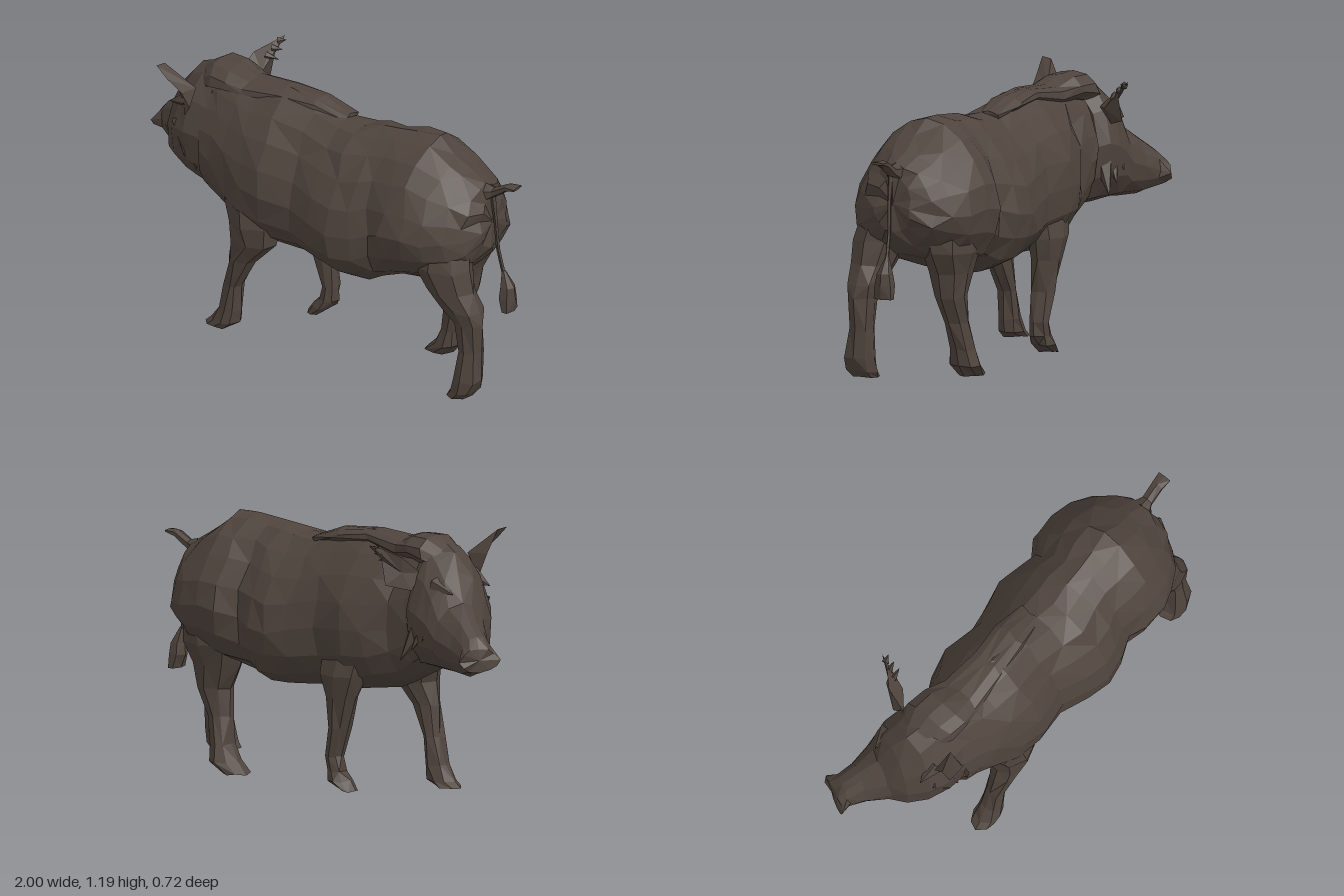
import * as THREE from 'three';

const hide = new THREE.MeshStandardMaterial({ color: 0x4f443d, flatShading: true, side: THREE.DoubleSide });
hide.name = 'dark brown hide';

// Seeded noise for the rough, faceted coat
let seed = 7;
const noise = () => ((seed = (seed * 16807) % 2147483647) / 2147483647 - 0.5) * 2;

// Skin a list of closed rings, cap the far end (and the near end if asked), and turn the faces outward
function loft(name, rings, rough = 0, capStart = false) {
  const n = rings[0].length, pos = [], idx = [];
  const mid = (r) => r.reduce((a, p) => a.add(p), new THREE.Vector3()).divideScalar(n);
  rings.forEach((r) => r.forEach((p) => pos.push(p.x + noise() * rough * 2, p.y + noise() * rough, p.z + noise() * rough)));
  const first = rings.length * n, last = first + 1;
  pos.push(...mid(rings[0]).toArray(), ...mid(rings[rings.length - 1]).toArray());
  for (let i = 0; i < rings.length; i++) {
    for (let j = 0; j < n; j++) {
      const k = (j + 1) % n, a = i * n + j, b = i * n + k;
      if (i === 0 && capStart) idx.push(first, b, a);
      if (i === rings.length - 1) idx.push(last, a, b);
      else if ((i + j) % 2) idx.push(a, b, a + n, b, b + n, a + n);
      else idx.push(a, b, b + n, a, b + n, a + n);
    }
  }
  // Signed volume about the first ring's centre decides the winding
  const centre = new THREE.Vector3().fromArray(pos, first * 3);
  const v = (i) => new THREE.Vector3().fromArray(pos, i * 3).sub(centre);
  let volume = 0;
  for (let i = 0; i < idx.length; i += 3) volume += v(idx[i]).dot(v(idx[i + 1]).cross(v(idx[i + 2])));
  if (volume < 0) idx.reverse();
  const geo = new THREE.BufferGeometry();
  geo.setAttribute('position', new THREE.Float32BufferAttribute(pos, 3));
  geo.setIndex(idx);
  geo.computeVertexNormals();
  const mesh = new THREE.Mesh(geo, hide);
  mesh.name = name;
  return mesh;
}

// Upright egg-shaped ring: x, top, bottom, centre z, half width, yaw
function uprightRing([x, top, bottom, z, w, yaw = 0], n, egg) {
  return Array.from({ length: n }, (_, i) => {
    const a = (i / n) * Math.PI * 2 + Math.PI / 2;
    const s = Math.sin(a), u = w * Math.cos(a) * (1 - egg * s);
    return new THREE.Vector3(x - u * Math.sin(yaw), (top + bottom) / 2 + ((top - bottom) / 2) * s, z + u * Math.cos(yaw));
  });
}

// Level ring for legs: y, min x, max x, centre z, half width
function levelRing([y, x0, x1, z, w], n = 8) {
  return Array.from({ length: n }, (_, i) => {
    const a = (i / n) * Math.PI * 2;
    return new THREE.Vector3((x0 + x1) / 2 + ((x1 - x0) / 2) * Math.cos(a), y, z + w * Math.sin(a));
  });
}

// Ear: cupped leaf, its outline joined to a back point and a hollow front point
function ear(name, outline, back, front) {
  const pos = [];
  outline.forEach((p, i) => {
    const q = outline[(i + 1) % outline.length];
    pos.push(...p, ...q, ...back, ...q, ...p, ...front);
  });
  const geo = new THREE.BufferGeometry();
  geo.setAttribute('position', new THREE.Float32BufferAttribute(pos, 3));
  geo.computeVertexNormals();
  const mesh = new THREE.Mesh(geo, hide);
  mesh.name = name;
  return mesh;
}

// Pointed fur tuft
function tuft(name, from, to, radius) {
  const a = new THREE.Vector3(...from), d = new THREE.Vector3(...to).sub(a);
  const mesh = new THREE.Mesh(new THREE.ConeGeometry(radius, d.length(), 5, 1, true), hide);
  mesh.position.copy(a).addScaledVector(d, 0.5);
  mesh.quaternion.setFromUnitVectors(new THREE.Vector3(0, 1, 0), d.normalize());
  mesh.name = name;
  return mesh;
}

export function createModel() {
  const boar = new THREE.Group();
  boar.name = 'boar';

  // Barrel body with swells at shoulder, belly and rump
  boar.add(loft('body', [
    [-0.55, 1.13, 0.58, 0.01, 0.17], [-0.49, 1.14, 0.54, 0.02, 0.18], [-0.4, 1.125, 0.49, 0.035, 0.2],
    [-0.3, 1.125, 0.46, 0.03, 0.245], [-0.18, 1.135, 0.44, 0.03, 0.272], [-0.03, 1.115, 0.43, 0.03, 0.25],
    [0.1, 1.075, 0.42, 0.04, 0.288], [0.22, 1.08, 0.395, 0.045, 0.315], [0.31, 1.095, 0.395, 0.04, 0.298],
    [0.39, 1.105, 0.43, 0.045, 0.265], [0.48, 1.115, 0.46, 0.035, 0.305], [0.58, 1.115, 0.48, 0.035, 0.312],
    [0.68, 1.055, 0.51, 0.035, 0.285], [0.76, 1.005, 0.55, 0.035, 0.24], [0.825, 0.955, 0.59, 0.035, 0.18],
    [0.86, 0.91, 0.66, 0.035, 0.09],
  ].map((r) => uprightRing(r, 18, 0.24)), 0.008));

  // Bristly mane laid over the crown and shoulders
  boar.add(loft('mane', [
    [-0.64, 1.125, 1.02, -0.03, 0.09], [-0.56, 1.17, 1.04, -0.025, 0.13], [-0.47, 1.165, 1.05, -0.01, 0.125],
    [-0.38, 1.135, 1.05, 0.005, 0.1], [-0.2, 1.145, 1.08, 0.01, 0.08], [-0.03, 1.13, 1.07, 0.0, 0.08],
    [0.11, 1.08, 1.05, 0.0, 0.05],
  ].map((r) => uprightRing(r, 10, 0.1)), 0.006));

  // Head turned toward -z, tapering to a flat snout
  boar.add(loft('head', [
    [-0.53, 1.13, 0.58, 0.0, 0.175, 0.1], [-0.6, 1.15, 0.585, -0.025, 0.195, 0.2], [-0.67, 1.11, 0.59, -0.05, 0.19, 0.32],
    [-0.735, 1.03, 0.6, -0.09, 0.16, 0.42], [-0.775, 0.915, 0.605, -0.125, 0.122, 0.48],
    [-0.86, 0.855, 0.605, -0.168, 0.086, 0.5], [-0.92, 0.795, 0.63, -0.205, 0.077, 0.5], [-0.962, 0.75, 0.645, -0.225, 0.09, 0.48],
  ].map((r) => uprightRing(r, 12, 0.12)), 0.005));

  // Cheek fur and brow
  [[-1, -0.19], [1, 0.12]].forEach(([side, z]) => {
    for (let i = 0; i < 3; i++) {
      boar.add(tuft('cheekTuft', [-0.7 + i * 0.06, 0.88 - i * 0.04, z - side * 0.03], [-0.64 + i * 0.06, 0.74 - i * 0.05, z + side * 0.04], 0.05));
    }
    boar.add(tuft('brow', [-0.66, 0.98, z - side * 0.03], [-0.76, 0.95, z + side * -0.03], 0.045));
  });

  // Ears
  boar.add(ear('leftEar', [
    [-0.68, 0.98, 0.11], [-0.71, 1.08, 0.13], [-0.725, 1.18, 0.185], [-0.735, 1.185, 0.235], [-0.685, 1.13, 0.228],
    [-0.62, 1.075, 0.215], [-0.595, 1.0, 0.19], [-0.64, 0.94, 0.16],
  ], [-0.6, 1.07, 0.13], [-0.63, 1.04, 0.14]));
  boar.add(ear('rightEar', [
    [-0.57, 1.02, -0.15], [-0.55, 1.1, -0.25], [-0.49, 1.14, -0.31], [-0.46, 1.16, -0.36], [-0.475, 1.09, -0.3],
    [-0.5, 0.98, -0.305], [-0.57, 0.95, -0.21],
  ], [-0.49, 1.03, -0.22], [-0.54, 1.03, -0.24]));
  for (let i = 0; i < 3; i++) {
    boar.add(tuft('earTuft', [-0.5 + i * 0.012, 1.09 + i * 0.025, -0.27 - i * 0.03], [-0.44, 1.08 + i * 0.035, -0.28 - i * 0.03], 0.018));
  }

  // Legs, from shoulder or hip to hoof
  const legs = {
    leftFrontLeg: [[0.65, -0.42, -0.14, 0.18, 0.09], [0.55, -0.4, -0.13, 0.19, 0.095], [0.46, -0.365, -0.15, 0.2, 0.08],
      [0.36, -0.38, -0.25, 0.2, 0.06], [0.22, -0.405, -0.325, 0.19, 0.05], [0.1, -0.43, -0.335, 0.19, 0.052],
      [0.04, -0.475, -0.34, 0.19, 0.06], [0.01, -0.505, -0.39, 0.19, 0.055]],
    rightFrontLeg: [[0.62, -0.28, -0.02, -0.13, 0.08], [0.52, -0.25, -0.03, -0.15, 0.08], [0.42, -0.21, -0.05, -0.15, 0.065],
      [0.28, -0.16, -0.055, -0.145, 0.05], [0.15, -0.13, -0.045, -0.14, 0.045], [0.09, -0.135, -0.045, -0.14, 0.048],
      [0.05, -0.17, -0.065, -0.14, 0.055], [0.01, -0.2, -0.13, -0.14, 0.045]],
    leftHindLeg: [[0.7, 0.56, 0.82, 0.17, 0.11], [0.6, 0.57, 0.845, 0.185, 0.115], [0.5, 0.64, 0.86, 0.195, 0.09],
      [0.42, 0.72, 0.905, 0.195, 0.075], [0.36, 0.775, 0.91, 0.195, 0.06], [0.23, 0.795, 0.9, 0.195, 0.053],
      [0.1, 0.79, 0.915, 0.205, 0.068], [0.04, 0.77, 0.89, 0.205, 0.075], [0.012, 0.75, 0.86, 0.2, 0.065]],
    rightHindLeg: [[0.67, 0.46, 0.78, -0.1, 0.115], [0.56, 0.46, 0.77, -0.11, 0.115], [0.47, 0.48, 0.72, -0.11, 0.085],
      [0.36, 0.54, 0.69, -0.105, 0.072], [0.24, 0.52, 0.64, -0.12, 0.057], [0.12, 0.505, 0.6, -0.13, 0.06],
      [0.05, 0.46, 0.6, -0.135, 0.072], [0, 0.42, 0.54, -0.135, 0.06]],
  };
  for (const [name, rings] of Object.entries(legs)) boar.add(loft(name, rings.map((r) => levelRing(r)), 0.005));

  // Raised tail root, thin hanging tail and its end tuft
  boar.add(loft('tailRoot', [
    [0.83, 0.96, 0.86, 0.035, 0.05], [0.87, 0.95, 0.9, 0.035, 0.028], [0.94, 0.985, 0.95, 0.035, 0.03], [0.99, 0.982, 0.97, 0.035, 0.035],
  ].map((r) => uprightRing(r, 6, 0))));
  boar.add(loft('tail', [
    [0.93, 0.85, 0.88, 0.04, 0.014], [0.8, 0.87, 0.89, 0.04, 0.008], [0.66, 0.88, 0.9, 0.035, 0.007], [0.53, 0.91, 0.93, 0.03, 0.008],
  ].map((r) => levelRing(r, 5))));
  boar.add(loft('tailTuft', [
    [0.56, 0.905, 0.925, 0.03, 0.008], [0.49, 0.9, 0.97, 0.03, 0.035], [0.44, 0.895, 0.975, 0.03, 0.045], [0.38, 0.92, 0.97, 0.03, 0.05],
  ].map((r) => levelRing(r, 6)), 0, true));

  return boar;
}
